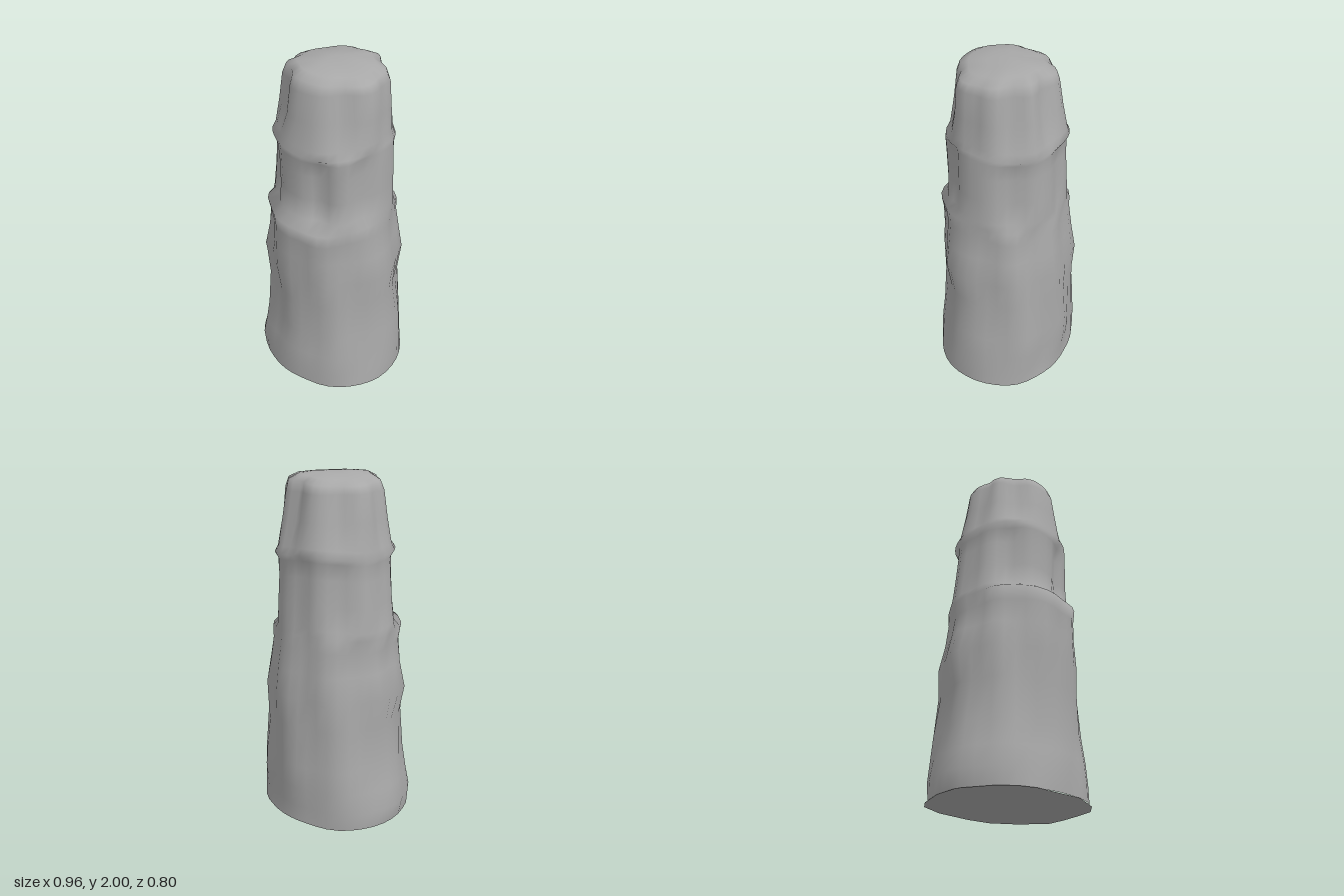
import * as THREE from 'three';

const SIDES = 40;

// Each ring: height, reach to -x, +x, -z, +z, flute depth, tier (0 trunk, 1 collar, 2 cap)
const RINGS = [
  [0.00, 0.46, 0.43, 0.39, 0.40, 0.02, 0],
  [0.10, 0.48, 0.43, 0.39, 0.40, 0.05, 0],
  [0.22, 0.45, 0.42, 0.40, 0.39, 0.06, 0],
  [0.36, 0.43, 0.41, 0.40, 0.37, 0.07, 0],
  [0.60, 0.40, 0.38, 0.39, 0.37, 0.09, 0],
  [0.77, 0.43, 0.40, 0.39, 0.38, 0.10, 0],
  [0.92, 0.39, 0.37, 0.37, 0.38, 0.10, 0],
  [1.05, 0.37, 0.35, 0.35, 0.38, 0.08, 0],
  [1.13, 0.38, 0.35, 0.34, 0.385, 0.05, 0],
  [1.17, 0.37, 0.335, 0.335, 0.32, 0.12, 1],
  [1.30, 0.355, 0.33, 0.33, 0.315, 0.14, 1],
  [1.45, 0.34, 0.325, 0.32, 0.32, 0.13, 1],
  [1.54, 0.33, 0.32, 0.32, 0.325, 0.09, 1],
  [1.57, 0.34, 0.32, 0.335, 0.33, 0.03, 2],
  [1.61, 0.325, 0.31, 0.325, 0.315, 0.08, 2],
  [1.75, 0.305, 0.305, 0.30, 0.295, 0.15, 2],
  [1.90, 0.285, 0.295, 0.275, 0.275, 0.17, 2],
  [1.96, 0.26, 0.27, 0.26, 0.255, 0.14, 2],
  [1.985, 0.20, 0.21, 0.20, 0.20, 0.08, 2],
  [1.995, 0.10, 0.11, 0.10, 0.10, 0.00, 2],
];

// Angular flute centres (0 = +x, 90 = front), half widths and weights per tier
const FLUTES = [
  [[40, 17, 1], [128, 13, 0.9], [82, 9, 0.5], [163, 10, 0.7], [205, 15, 0.8], [250, 12, 0.8], [296, 13, 0.9], [336, 14, 0.8]],
  [[73, 11, 1], [140, 14, 1], [30, 12, 0.8], [178, 10, 0.4], [222, 13, 0.8], [262, 9, 0.5], [318, 14, 0.9]],
  [[48, 17, 1], [133, 16, 1], [172, 9, 0.6], [222, 15, 0.9], [277, 12, 0.9], [318, 14, 1], [357, 9, 0.4]],
];

function fluteAt(deg, tier) {
  let sum = 0;
  for (const [centre, width, weight] of FLUTES[tier]) {
    const d = Math.abs(((deg - centre + 540) % 360) - 180);
    sum += weight * Math.exp(-((d / width) ** 2));
  }
  return Math.min(sum, 1);
}

// Rounded-square ring with a different reach on each side, cut by flutes
function ringPoint([y, left, right, back, front, depth, tier], i) {
  const a = (i / SIDES) * Math.PI * 2;
  const c = Math.cos(a), s = Math.sin(a);
  const rx = c > 0 ? right : left, rz = s > 0 ? front : back;
  const n = 2.25;
  const base = (Math.abs(c / rx) ** n + Math.abs(s / rz) ** n) ** (-1 / n);
  // flutes drift sideways up the trunk
  const drift = tier === 0 ? 7 * Math.sin(y * 5) : 0;
  const r = base * (1 - depth * fluteAt((i / SIDES) * 360 + drift + 360, tier));
  // ledges and crown are uneven in height
  let lift = 0;
  if (y > 1.0 && y < 1.7) lift = 0.012 * Math.sin(3 * a + 1);
  if (y > 1.93) lift = -0.012 * (1 + Math.sin(2 * a + 0.5)) * (r / 0.3);
  return [r * c, y + lift, r * s];
}

function rockGeometry() {
  const pos = [], index = [];
  for (const ring of RINGS) {
    for (let i = 0; i < SIDES; i++) pos.push(...ringPoint(ring, i));
  }
  for (let j = 0; j < RINGS.length - 1; j++) {
    for (let i = 0; i < SIDES; i++) {
      const k = (i + 1) % SIDES;
      const a = j * SIDES + i, b = j * SIDES + k, c = a + SIDES, d = b + SIDES;
      index.push(a, c, b, b, c, d);
    }
  }
  // crown centre
  const top = pos.length / 3, last = top - SIDES;
  pos.push(-0.02, 2, 0);
  for (let i = 0; i < SIDES; i++) index.push(last + i, top, last + ((i + 1) % SIDES));
  const g = new THREE.BufferGeometry();
  g.setAttribute('position', new THREE.Float32BufferAttribute(pos, 3));
  g.setIndex(index);
  g.computeVertexNormals();
  return g;
}

export function createModel() {
  const group = new THREE.Group();
  group.name = 'rockPillar';
  const stone = new THREE.MeshStandardMaterial({ color: 0xa8a8a8 });
  stone.name = 'grey stone';

  const rock = new THREE.Mesh(rockGeometry(), stone);
  rock.name = 'pillar';
  group.add(rock);

  // Flat underside, facing down; wider than the trunk on one side
  const outline = [
    [-0.48, 0.07], [-0.45, -0.1], [-0.37, -0.27], [-0.3, -0.35], [-0.14, -0.4], [0.09, -0.4],
    [0.24, -0.37], [0.37, -0.27], [0.48, -0.12], [0.46, 0], [0.43, 0.11], [0.38, 0.25],
    [0.28, 0.33], [0.08, 0.4], [-0.23, 0.37], [-0.32, 0.33], [-0.4, 0.25],
  ].map(([x, z]) => new THREE.Vector2(x, z));
  const base = new THREE.Mesh(new THREE.ShapeGeometry(new THREE.Shape(outline)), stone);
  base.name = 'underside';
  base.rotation.x = Math.PI / 2;
  group.add(base);
  return group;
}
